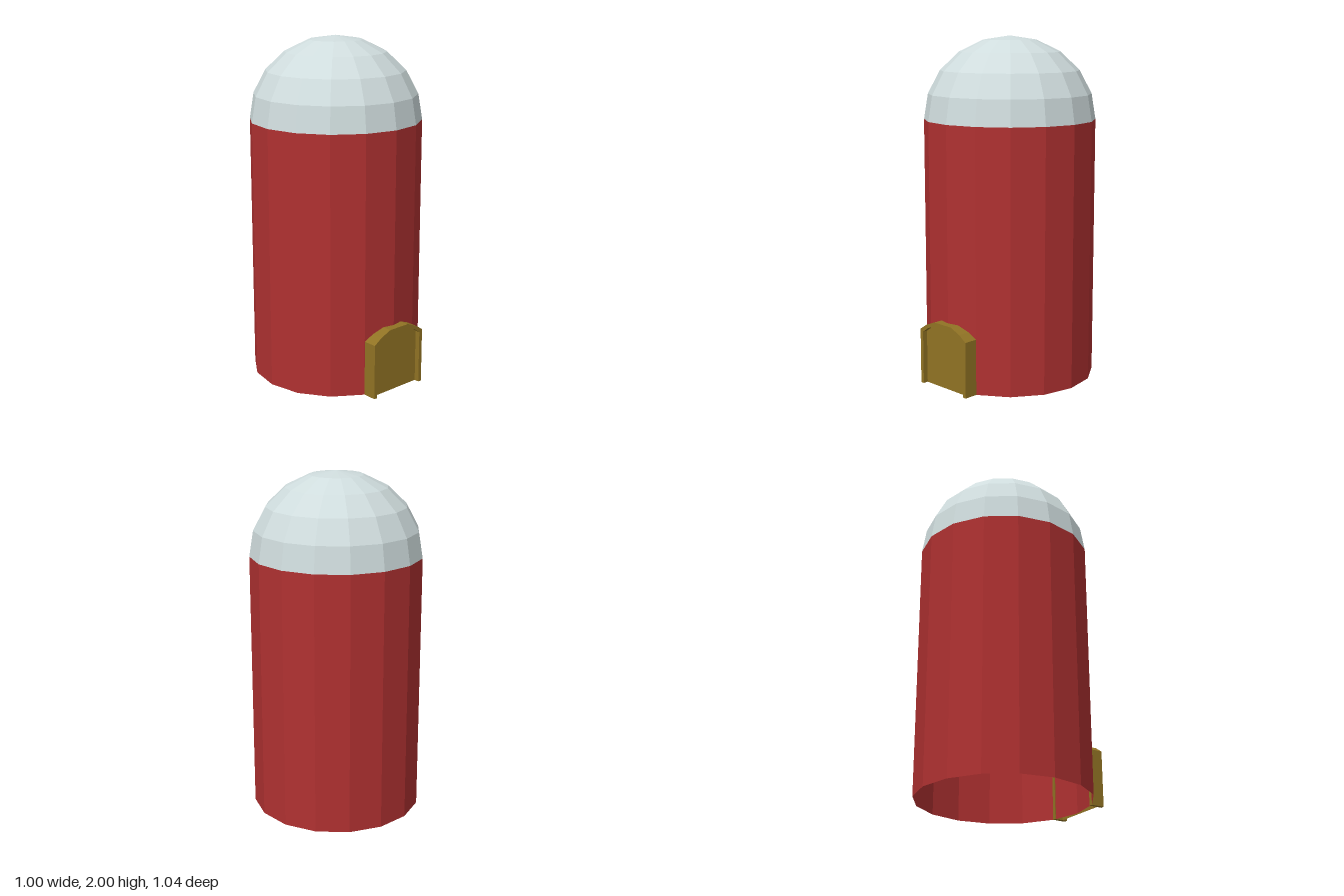
import * as THREE from 'three';

export function createModel() {
  const model = new THREE.Group();
  model.name = 'silo';

  const material = (name, color, options = {}) => {
    const m = new THREE.MeshStandardMaterial({ color, flatShading: true, side: THREE.DoubleSide, ...options });
    m.name = name;
    return m;
  };
  const red = material('barnRed', 0xb03131);
  const grey = material('paleGrey', 0xcfdcdd);
  const ochre = material('ochre', 0x917324);

  const add = (name, geometry, mat, x, y, z) => {
    const mesh = new THREE.Mesh(geometry, mat);
    mesh.name = name;
    mesh.position.set(x, y, z);
    model.add(mesh);
    return mesh;
  };

  const sides = 16, radius = 0.5, wallHeight = 1.52, centreZ = -0.022;

  // Round wall, open at the bottom
  add('wall', new THREE.CylinderGeometry(radius, radius, wallHeight, sides, 1, true),
    red, 0, wallHeight / 2, centreZ);

  // Slightly flattened domed roof
  const dome = new THREE.SphereGeometry(radius, sides, 5, 0, Math.PI * 2, 0, Math.PI / 2);
  dome.scale(1, (2 - wallHeight) / radius, 1);
  add('domeRoof', dome, grey, 0, wallHeight, centreZ);

  // Arched outlines, given as the right half from floor to crown
  const mirrored = (half) => [...half, ...half.slice().reverse().map(([x, y]) => [-x, y])];
  const outer = mirrored([[0.19, 0], [0.19, 0.325], [0.14, 0.359], [0.07, 0.388]]);
  const inner = mirrored([[0.168, 0], [0.168, 0.312], [0.125, 0.342], [0.065, 0.366]]);
  const shape = (points) => new THREE.Shape(points.map(([x, y]) => new THREE.Vector2(x, y)));

  // Door frame, open at the floor
  const frame = new THREE.ExtrudeGeometry(shape([...outer, ...inner.slice().reverse()]),
    { depth: 0.082, bevelEnabled: false });
  add('doorFrame', frame, ochre, 0, 0, 0.44);

  // Recessed door panel
  add('doorPanel', new THREE.ShapeGeometry(shape(inner)), ochre, 0, 0, 0.492);

  return model;
}
